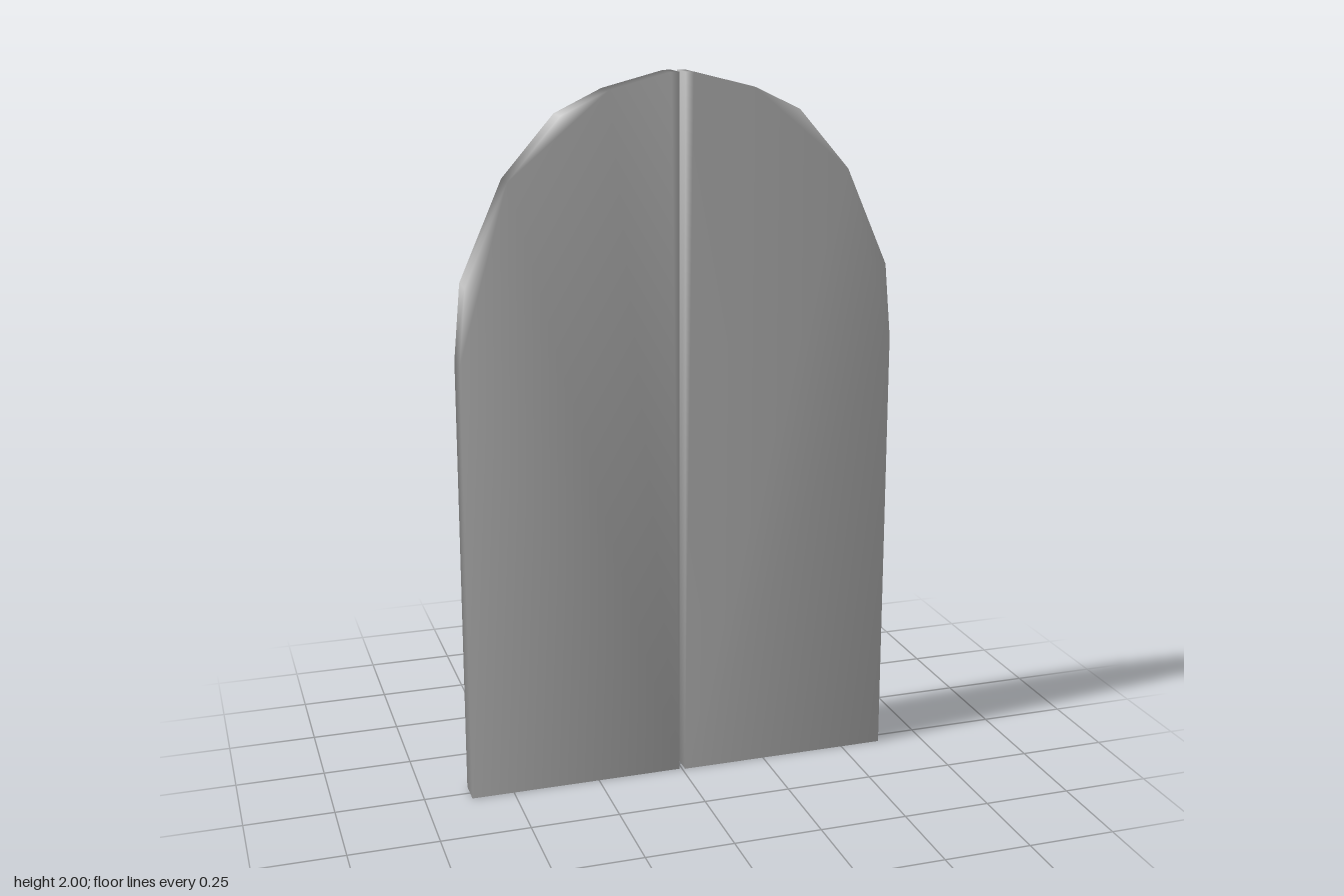
import * as THREE from 'three';
import { mergeVertices } from 'three/addons/utils/BufferGeometryUtils.js';

const THICKNESS = 0.075;

// Half of the arched outline, from the inner bottom corner round to the top
const OUTLINE = [
  [0.008, 0], [0.62, 0], [0.614, 1.25], [0.594, 1.46], [0.474, 1.73],
  [0.33, 1.895], [0.2, 1.957], [0.03, 2], [0.008, 2],
];

// Soft shading over faces and rim, with a hard edge around the flat bottom
function softenExceptBottom(geometry) {
  const geo = geometry.index ? geometry.toNonIndexed() : geometry;
  const pos = geo.attributes.position;
  const flag = new Float32Array(pos.count);
  for (let i = 0; i < pos.count; i += 3) {
    const bottom = [0, 1, 2].every((k) => Math.abs(pos.getY(i + k)) < 1e-5);
    flag.fill(bottom ? 1 : 0, i, i + 3);
  }
  geo.deleteAttribute('normal');
  geo.deleteAttribute('uv');
  geo.clearGroups();
  geo.setAttribute('bottom', new THREE.BufferAttribute(flag, 1));
  const merged = mergeVertices(geo);
  merged.deleteAttribute('bottom');
  merged.computeVertexNormals();
  return merged;
}

export function createModel() {
  const group = new THREE.Group();
  group.name = 'archedDoubleDoor';
  const material = new THREE.MeshStandardMaterial({ color: 0xcccccc });

  const shape = new THREE.Shape(OUTLINE.map(([x, y]) => new THREE.Vector2(x, y)));
  const slab = new THREE.ExtrudeGeometry(shape, { depth: THICKNESS, bevelEnabled: false });
  slab.translate(0, 0, -0.035);
  const geometry = softenExceptBottom(slab);

  // The two leaves are half a turn apart, which offsets them slightly in depth
  ['leftDoorLeaf', 'rightDoorLeaf'].forEach((name, i) => {
    const leaf = new THREE.Mesh(geometry, material);
    leaf.name = name;
    leaf.rotation.y = i * Math.PI;
    group.add(leaf);
  });

  return group;
}
